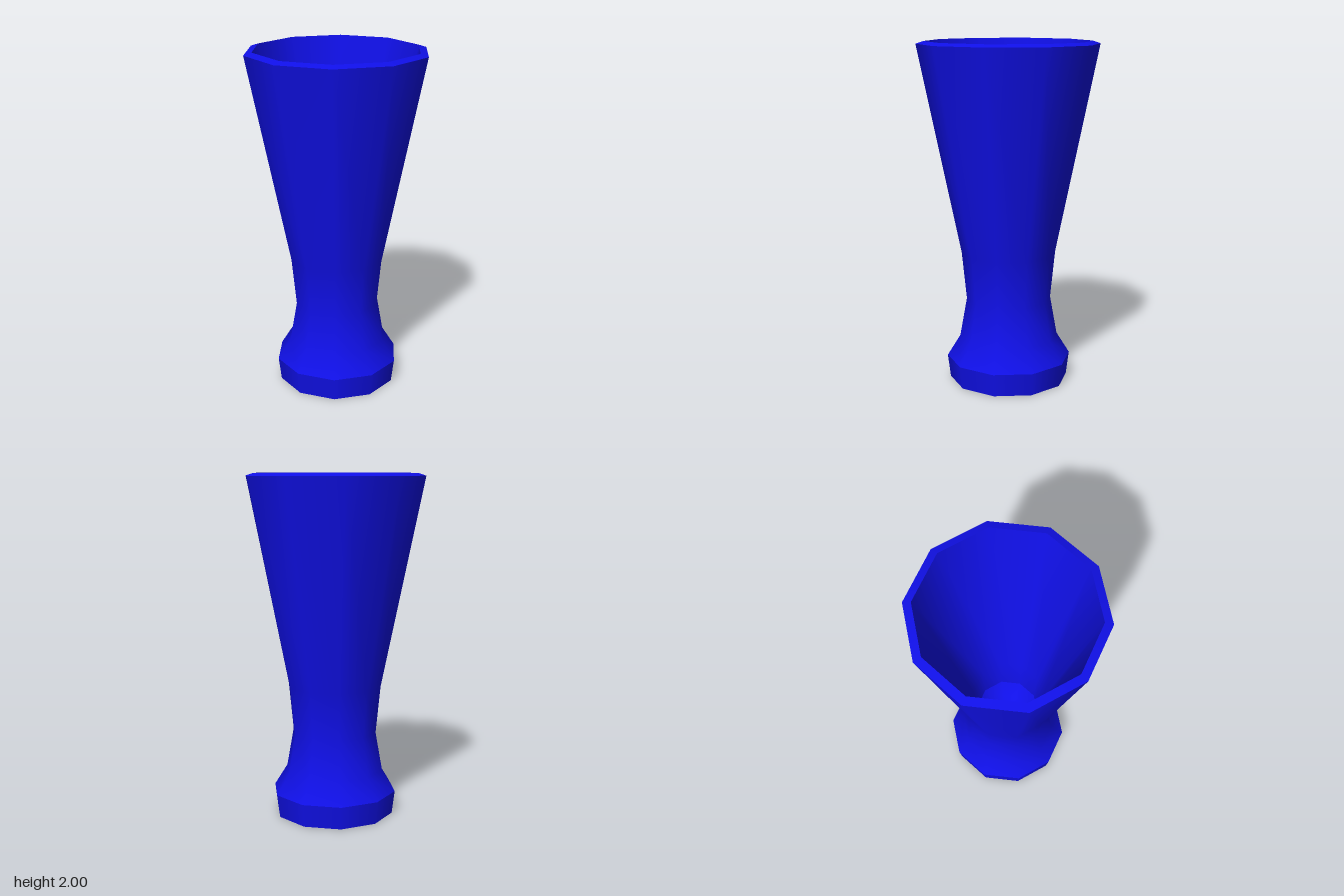
import * as THREE from 'three';

const SIDES = 10;

// One smooth ring of the glass; separate sections keep sharp edges between them.
function section(name, profile, material) {
  const points = profile.map(([r, y]) => new THREE.Vector2(r, y));
  const geometry = new THREE.LatheGeometry(points, SIDES, Math.PI / 2, Math.PI * 2);
  const mesh = new THREE.Mesh(geometry, material);
  mesh.name = name;
  return mesh;
}

export function createModel() {
  const group = new THREE.Group();
  group.name = 'tallGlass';
  const blue = new THREE.MeshStandardMaterial({ color: 0x1010e8 });

  // Profiles run from the underside, up the outside, over the rim and down the inside.
  const sections = {
    underside: [[0, 0], [0.35, 0]],
    footBand: [[0.35, 0], [0.367, 0.135]],
    outerWall: [[0.367, 0.135], [0.29, 0.26], [0.249, 0.49], [0.277, 0.77], [0.525, 1.985]],
    rim: [[0.525, 1.985], [0.479, 2]],
    innerWall: [[0.479, 2], [0.209, 0.77], [0.192, 0.49]],
    innerFloor: [[0.192, 0.49], [0.13, 0.4], [0.06, 0.36], [0, 0.35]],
  };
  for (const [name, profile] of Object.entries(sections)) {
    group.add(section(name, profile, blue));
  }
  return group;
}
